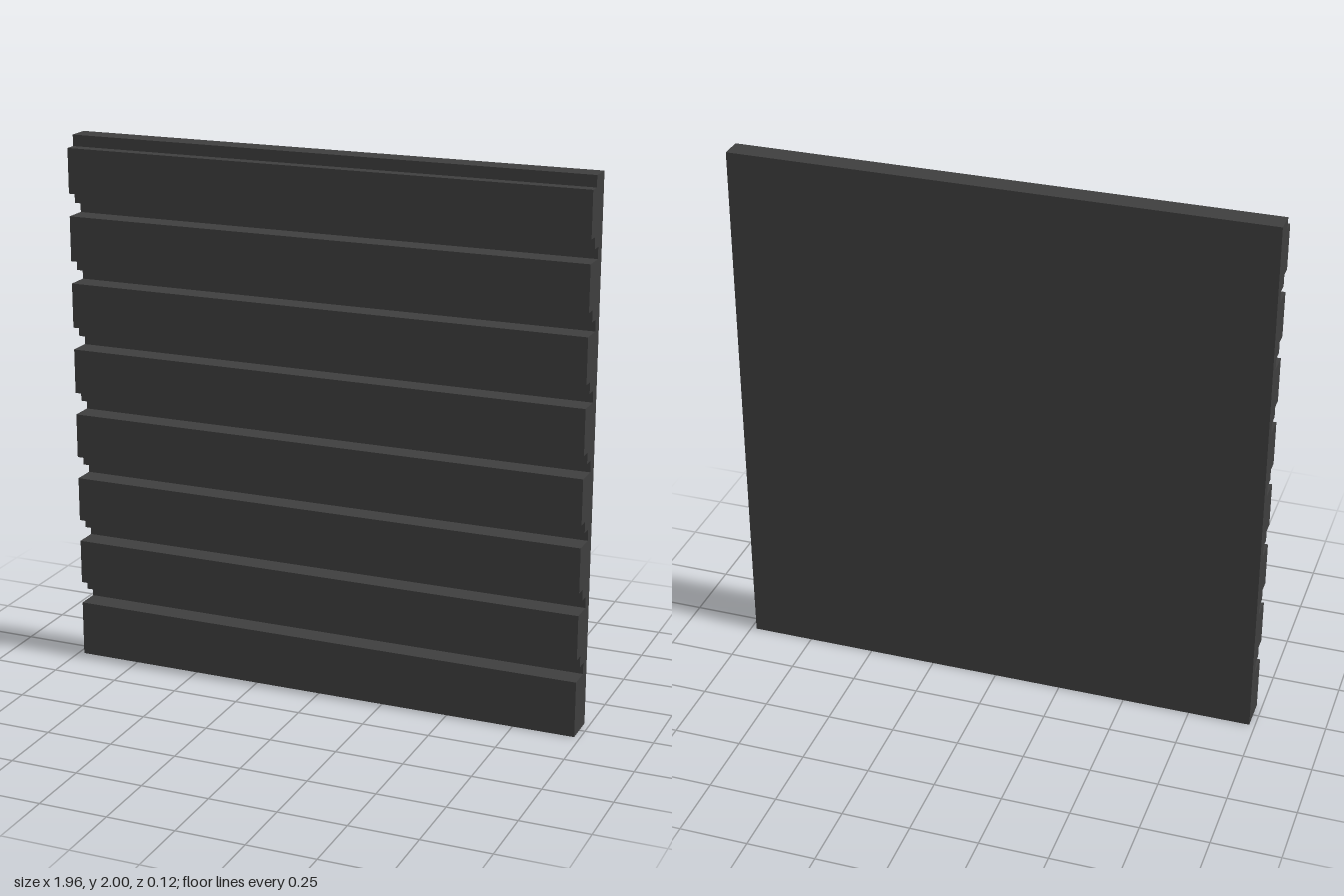
import * as THREE from 'three';

export function createModel() {
  const group = new THREE.Group();
  const charcoal = new THREE.MeshStandardMaterial({ color: 0x3e3e3e });
  charcoal.name = 'charcoal';

  const u = 1 / 24; // slat step size
  const width = 47 * u;
  const back = -1.5 * u, front = 1.5 * u, shallow = 0.5 * u, deep = -0.5 * u;
  const slats = 8, pitch = 6 * u;

  // Side profile: eight slats divided by stepped grooves
  const profile = new THREE.Shape();
  profile.moveTo(back, 0);
  profile.lineTo(front, 0);
  for (let i = 1; i <= slats; i++) {
    const y = i * pitch;
    profile.lineTo(front, y - u);
    if (i === slats) {
      // rebated tongue along the top edge
      profile.lineTo(shallow, y - u);
      profile.lineTo(shallow, y);
    } else {
      profile.lineTo(deep, y - u);
      profile.lineTo(deep, y);
      profile.lineTo(shallow, y);
      profile.lineTo(shallow, y + u);
      profile.lineTo(front, y + u);
    }
  }
  profile.lineTo(back, slats * pitch);
  profile.closePath();

  // Sweep the profile across the panel width
  const geometry = new THREE.ExtrudeGeometry(profile, { depth: width, bevelEnabled: false });
  geometry.translate(0, 0, -width / 2);
  geometry.rotateY(-Math.PI / 2);

  const panel = new THREE.Mesh(geometry, charcoal);
  panel.name = 'slattedPanel';
  group.add(panel);
  return group;
}
